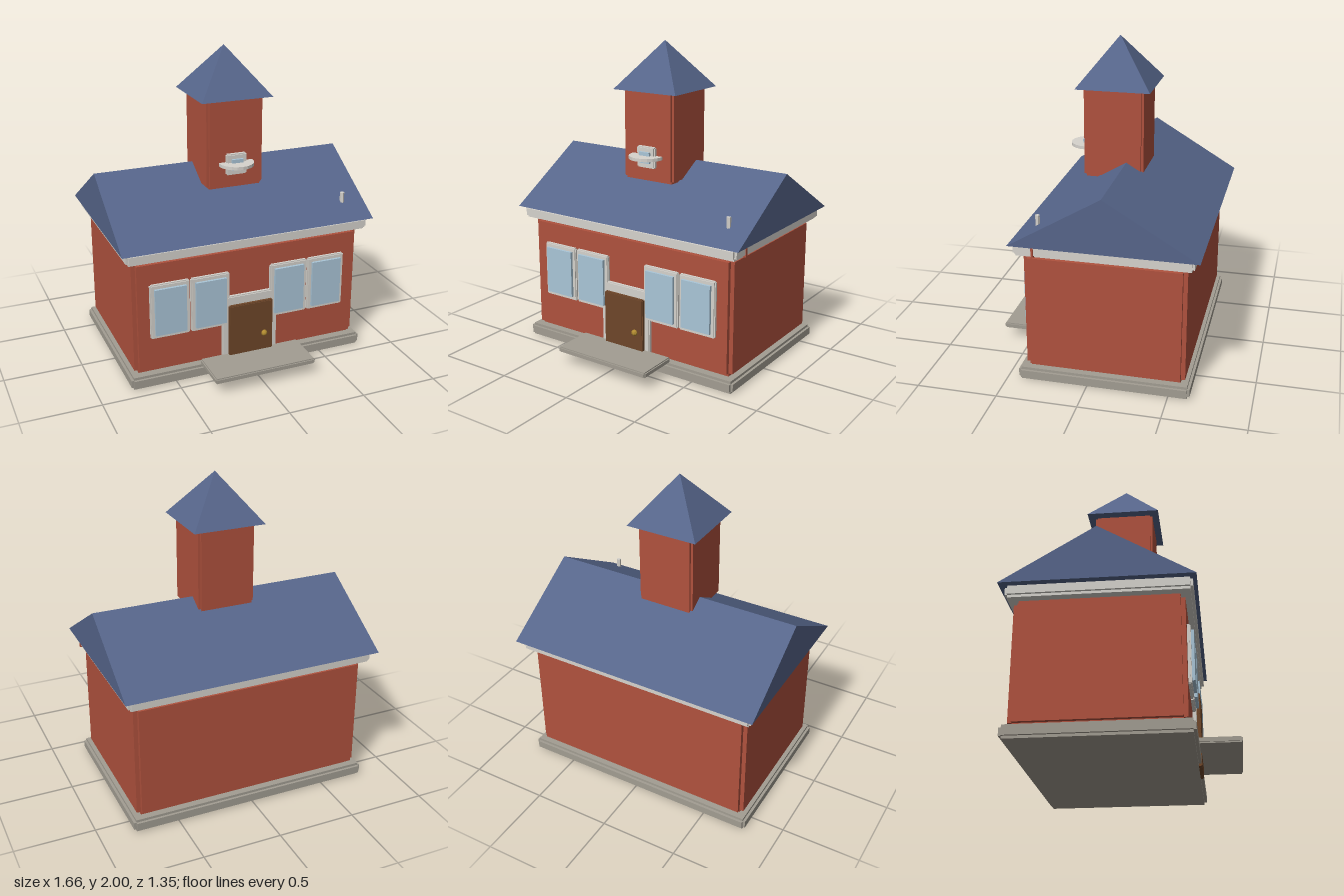
import * as THREE from 'three';
import { mergeGeometries } from 'three/addons/utils/BufferGeometryUtils.js';

const mat = (color) => new THREE.MeshStandardMaterial({ color, flatShading: true });
const brick = mat(0xb0523e);
const slate = mat(0x56658a);
const trim = mat(0xd6d3cd);
const stone = mat(0xa29d92);
const wood = mat(0x6e4629);
const glass = mat(0xaac6d8);
const brass = mat(0xb08a30);

// Block with a square notch of size b along every edge, given by its limits
function notchedBlock(x0, x1, y0, y1, z0, z1, b) {
  const w = x1 - x0, h = y1 - y0, d = z1 - z0, c = 2 * b;
  const geometry = mergeGeometries([
    new THREE.BoxGeometry(w, h - c, d - c),
    new THREE.BoxGeometry(w - c, h, d - c),
    new THREE.BoxGeometry(w - c, h - c, d),
  ]);
  return geometry.translate((x0 + x1) / 2, (y0 + y1) / 2, (z0 + z1) / 2);
}

export function createModel() {
  const model = new THREE.Group();
  const add = (name, geometry, material, parent = model) => {
    const mesh = new THREE.Mesh(geometry, material);
    mesh.name = name;
    parent.add(mesh);
    return mesh;
  };

  // Main building
  add('foundation', notchedBlock(-0.79, 0.79, 0, 0.08, -0.63, 0.429, 0.016), stone);
  add('walls', notchedBlock(-0.755, 0.755, 0.075, 0.835, -0.595, 0.387, 0.026), brick);
  add('cornice', notchedBlock(-0.8, 0.8, 0.835, 0.912, -0.64, 0.435, 0.016), trim);
  add('corniceBracket', new THREE.BoxGeometry(0.025, 0.075, 0.014).translate(0.792, 0.873, 0.312), brick);

  // Gabled roof, extruded along x
  const gable = new THREE.Shape([
    new THREE.Vector2(-0.457, 0.91),
    new THREE.Vector2(0.676, 0.91),
    new THREE.Vector2(0.11, 1.247),
  ]);
  const roof = new THREE.ExtrudeGeometry(gable, { depth: 1.66, bevelEnabled: false });
  roof.translate(0, 0, -0.83).rotateY(Math.PI / 2);
  add('roof', roof, slate);
  add('ventPipe', new THREE.CylinderGeometry(0.014, 0.014, 0.1, 6).translate(0.68, 1.008, 0.31), trim);

  // Tower with pyramid cap
  add('tower', notchedBlock(-0.185, 0.185, 1.137, 1.71, -0.215, 0.16, 0.015), brick);
  const cap = new THREE.ConeGeometry(0.232 * Math.SQRT2, 0.297, 4);
  cap.rotateY(Math.PI / 4).translate(0, 1.8515, -0.03);
  add('towerCap', cap, slate);
  add('towerWindowFrame', notchedBlock(-0.067, 0.067, 1.228, 1.362, 0.14, 0.187, 0.007), trim);
  add('towerWindowPane', new THREE.BoxGeometry(0.075, 0.07, 0.05).translate(0, 1.296, 0.178), glass);
  add('towerLedge', new THREE.CylinderGeometry(0.112, 0.112, 0.02, 20).translate(0, 1.298, 0.173), trim);

  // Front windows, two on each side of the door
  for (const side of [-1, 1]) {
    for (const offset of [0.265, 0.527]) {
      const win = new THREE.Group();
      win.name = 'frontWindow';
      win.position.set(side * offset, 0.5, 0);
      add('windowFrame', notchedBlock(-0.127, 0.127, -0.18, 0.18, 0.36, 0.408, 0.007), trim, win);
      add('windowPane', new THREE.BoxGeometry(0.202, 0.307, 0.05).translate(0, 0, 0.4), glass, win);
      model.add(win);
    }
  }

  // Entrance
  add('doorFrame', notchedBlock(-0.185, 0.185, 0.02, 0.513, 0.36, 0.41, 0.007), trim);
  add('door', notchedBlock(-0.147, 0.147, 0.002, 0.455, 0.38, 0.433, 0.005), wood);
  const knob = add('doorKnob', new THREE.SphereGeometry(0.02, 12, 8), brass);
  knob.position.set(0.088, 0.23, 0.435);
  add('doorstep', notchedBlock(-0.335, 0.335, 0.08, 0.115, 0.4, 0.673, 0.007), stone);

  return model;
}
